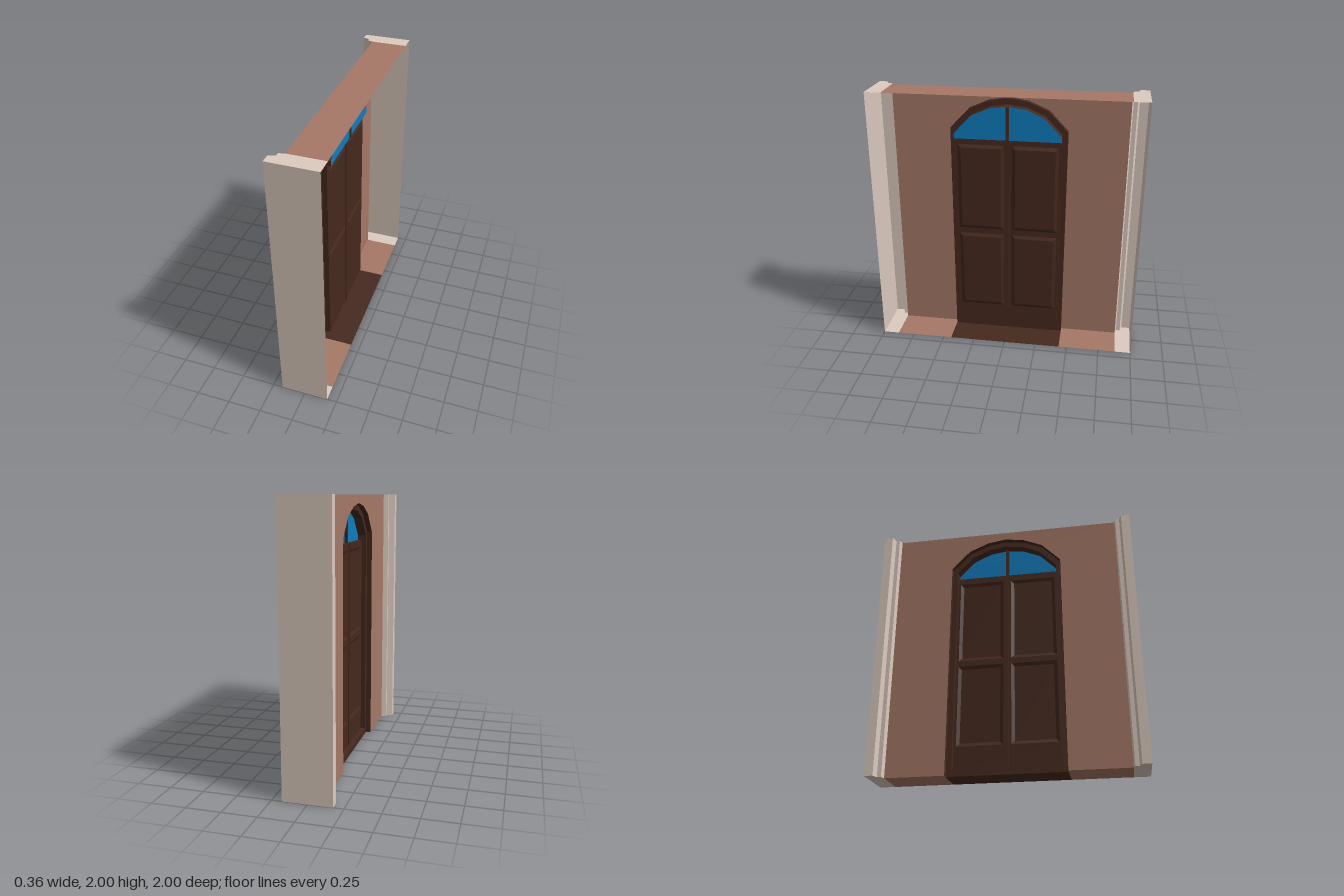
import * as THREE from 'three';

const mat = (color) => new THREE.MeshStandardMaterial({ color, side: THREE.DoubleSide, flatShading: true });

// Main depths along x, from the outer face (-x) to the open back (+x)
const FACE = -0.09, STEP = -0.05, DOOR = -0.013, GLASS = 0.017, BACK = 0.178;
const SILL = 0.045, TRANSOM = 1.64;

export function createModel() {
  const group = new THREE.Group();
  const brick = mat(0xa67866), trim = mat(0xdccbbf), wood = mat(0x46291e), blue = mat(0x0c7dbe);

  const add = (name, geometry, material) => {
    const mesh = new THREE.Mesh(geometry, material);
    mesh.name = name;
    group.add(mesh);
    return mesh;
  };
  const vec = (pts) => pts.map(([a, b]) => new THREE.Vector2(a, b));
  const rect = (z0, z1, y0, y1) => [[z0, y0], [z1, y0], [z1, y1], [z0, y1]];

  // Flat plate of [z, y] points facing -x, with optional holes
  const plate = (x, pts, holes = []) => {
    const shape = new THREE.Shape(vec(pts));
    holes.forEach((h) => shape.holes.push(new THREE.Path(vec(h))));
    return new THREE.ShapeGeometry(shape).rotateY(-Math.PI / 2).translate(x, 0, 0);
  };
  // Horizontal plate of [x, z] points at height y
  const slab = (y, pts) =>
    new THREE.ShapeGeometry(new THREE.Shape(vec(pts.map(([x, z]) => [x, -z])))).rotateX(-Math.PI / 2).translate(0, y, 0);
  // Strip joining two equally long rows of [x, y, z] points
  const band = (a, b) => {
    const out = [];
    for (let i = 0; i + 1 < a.length; i++) out.push(a[i], a[i + 1], b[i + 1], a[i], b[i + 1], b[i]);
    const g = new THREE.BufferGeometry();
    g.setAttribute('position', new THREE.Float32BufferAttribute(out.flat(), 3));
    g.computeVertexNormals();
    return g;
  };
  const at = (x, pts) => pts.map(([z, y]) => [x, y, z]);
  const mirrored = (half) => [...half, ...half.slice(0, -1).reverse().map(([z, y]) => [-z, y])];

  // Faceted arch outlines
  const outer = mirrored([[0.438, 0], [0.438, 1.70], [0.295, 1.85], [0.145, 1.915], [0, 1.937]]);
  const inner = mirrored([[0.398, SILL], [0.398, 1.68], [0.27, 1.815], [0.135, 1.875], [0, 1.893]]);
  const light = inner.map(([z, y]) => [z, y === SILL ? TRANSOM : y]);

  // Wall face notched by the doorway
  add('wallFace', plate(FACE, [[0.88, 0], [0.88, 2], [-0.88, 2], [-0.88, 0], ...outer.slice().reverse()]), brick);
  add('wallTop', slab(2, [[FACE, -0.88], [BACK, -0.88], [BACK, 0.88], [FACE, 0.88]]), brick);

  // Pilasters and wall bases on both sides
  const profile = [[-0.178, 1], [-0.178, 0.935], [-0.13, 0.92], [-0.13, 0.89], [FACE, 0.88]];
  for (const s of [1, -1]) {
    const side = s > 0 ? 'left' : 'right';
    const line = [[BACK, 1], ...profile].map(([x, z]) => [x, z * s]);
    const row = (y) => line.map(([x, z]) => [x, y, z]);
    add(side + 'Pilaster', band(row(0), row(2)), trim);
    for (const y of [0, 2]) add(side + (y ? 'PilasterTop' : 'PilasterBase'), slab(y, [...line, [BACK, 0.88 * s]]), trim);
    add(side + 'WallBase', slab(0, [[FACE, 0.438 * s], [BACK, 0.438 * s], [BACK, 0.88 * s], [FACE, 0.88 * s]]), brick);
  }

  // Stepped door frame
  add('frameOuterReveal', band(at(FACE, outer), at(STEP, outer)), wood);
  add('frameFace', plate(STEP, outer, [inner]), wood);
  const innerLoop = [...inner, inner[0]];
  add('frameInnerReveal', band(at(STEP, innerLoop), at(DOOR, innerLoop)), wood);
  add('threshold', slab(0, [[STEP, -0.438], [BACK, -0.438], [BACK, 0.438], [STEP, 0.438]]), wood);

  // Door leaves with bevelled sunk panels
  const panels = [];
  for (const s of [1, -1]) {
    for (const [y0, y1] of [[0.23, 0.865], [0.91, 1.59]]) {
      const rim = rect(s * 0.03, s * 0.38, y0, y1);
      const field = rect(s * 0.055, s * 0.355, y0 + 0.025, y1 - 0.025);
      panels.push(rim);
      add('panelBevel', band(at(DOOR, [...rim, rim[0]]), at(DOOR + 0.01, [...field, field[0]])), wood);
      add('panelField', plate(DOOR + 0.01, field), wood);
    }
  }
  add('doorLeaves', plate(DOOR, rect(-0.398, 0.398, SILL, TRANSOM), panels), wood);
  add('meetingStrip', new THREE.BoxGeometry(0.016, TRANSOM - SILL, 0.024), wood)
    .position.set(DOOR, (TRANSOM + SILL) / 2, 0);

  // Fanlight above the transom
  add('transom', slab(TRANSOM, [[DOOR, -0.398], [GLASS, -0.398], [GLASS, 0.398], [DOOR, 0.398]]), wood);
  add('fanlightReveal', band(at(DOOR, light), at(GLASS, light)), wood);
  add('fanlightGlass', plate(GLASS, light), blue);
  add('fanlightMullion', new THREE.BoxGeometry(0.03, 1.89 - TRANSOM, 0.024), wood)
    .position.set(GLASS - 0.008, (1.89 + TRANSOM) / 2, 0);

  return group;
}
